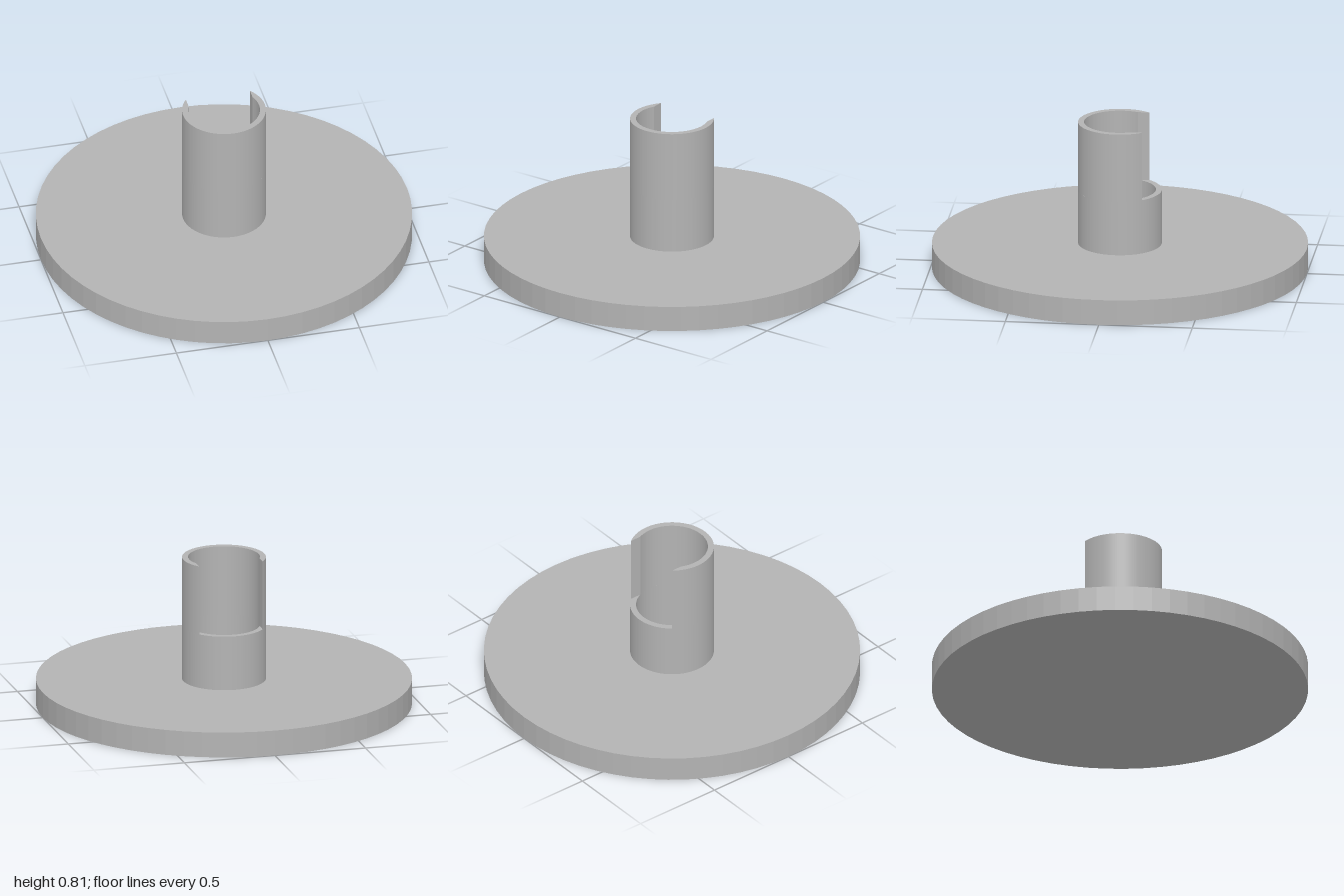
import * as THREE from 'three';

const BASE_TOP = 0.138, LEDGE = 0.435, TOP = 0.812;
const OUTER = 0.223, INNER = 0.191, SLOT = 0.175; // tube radii, half width of the slot

export function createModel() {
  const model = new THREE.Group();
  model.name = 'flangedTube';
  const grey = new THREE.MeshStandardMaterial({ color: 0xb3b3b3, flatShading: true });
  grey.name = 'plain grey';

  const add = (name, geometry, y) => {
    const mesh = new THREE.Mesh(geometry, grey);
    mesh.name = name;
    mesh.position.y = y;
    model.add(mesh);
  };

  // Extrudes a plan outline upwards (plan +y becomes -z, the back)
  const extrudeUp = (shape, depth, curveSegments) =>
    new THREE.ExtrudeGeometry(shape, { depth, curveSegments, bevelEnabled: false }).rotateX(-Math.PI / 2);

  // Wide round base
  add('baseDisc', new THREE.CylinderGeometry(1, 1, BASE_TOP, 64), BASE_TOP / 2);

  // Closed lower part of the tube
  const ring = new THREE.Shape().absarc(0, 0, OUTER, 0, Math.PI * 2, false);
  ring.holes.push(new THREE.Path().absarc(0, 0, INNER, 0, Math.PI * 2, true));
  add('lowerTube', extrudeUp(ring, LEDGE - BASE_TOP, 64), BASE_TOP);

  // Upper part, cut open at the back by a straight-sided slot
  const a = Math.acos(SLOT / OUTER), b = Math.acos(SLOT / INNER);
  const open = new THREE.Shape();
  open.absarc(0, 0, OUTER, Math.PI - a, Math.PI * 2 + a, false);
  open.absarc(0, 0, INNER, Math.PI * 2 + b, Math.PI - b, true);
  open.closePath();
  add('slottedTube', extrudeUp(open, TOP - LEDGE, 44), LEDGE);

  return model;
}
